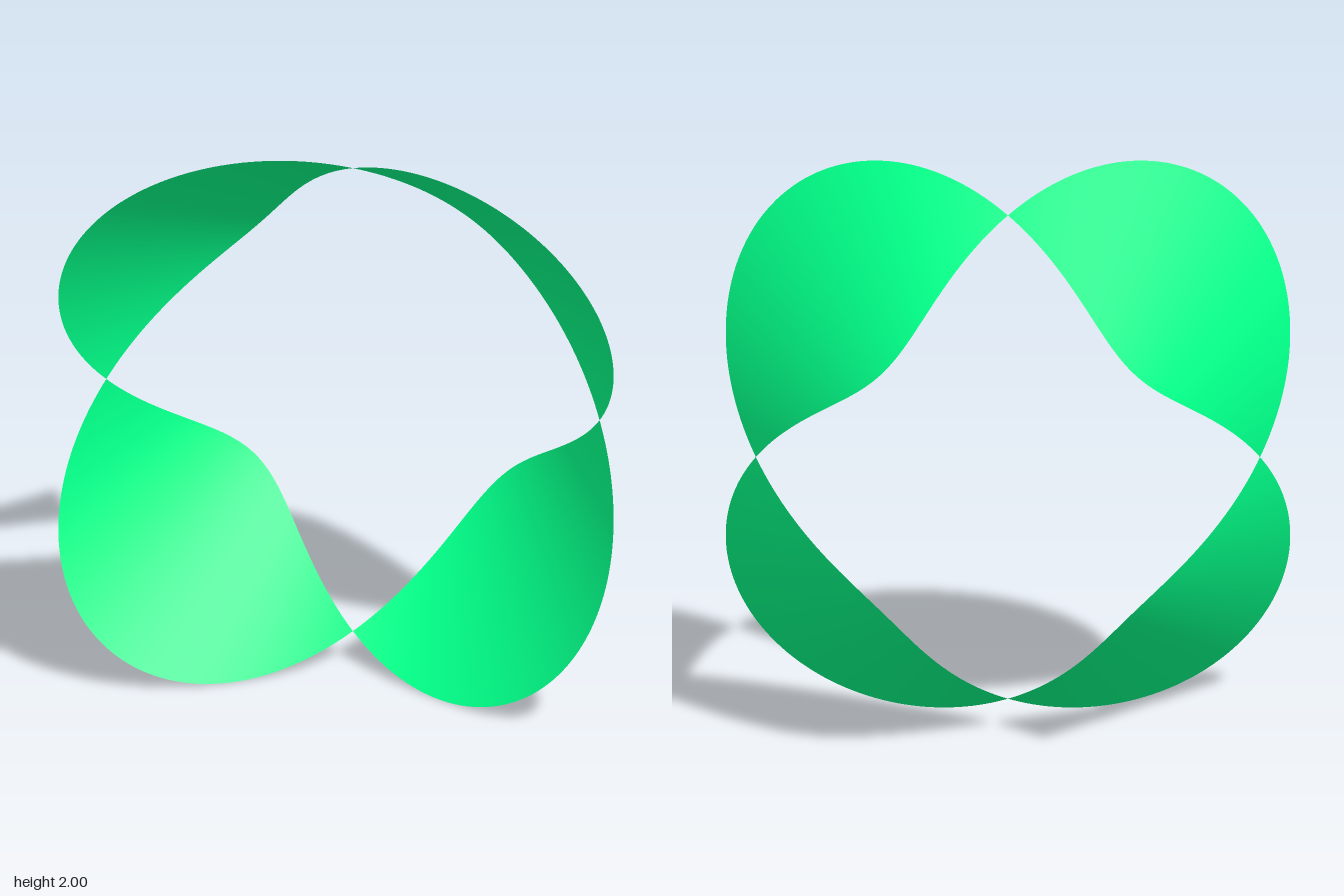
import * as THREE from 'three';

const RADIUS = 0.893;     // ring through the four pinch points
const HALF_RADIAL = 0.266; // half width of the band, across the ring
const HALF_DEPTH = 0.447;  // half width of the band, front to back

// One quarter of the ribbon: a tilted band that pinches to a point at both ends
function leafGeometry() {
  const geo = new THREE.PlaneGeometry(1, 1, 72, 20);
  const pos = geo.attributes.position;
  for (let i = 0; i < pos.count; i++) {
    const angle = (0.5 - pos.getX(i)) * Math.PI / 2;
    const across = 2 * pos.getY(i) * Math.sin(2 * angle);
    const r = RADIUS + HALF_RADIAL * across;
    pos.setXYZ(i, r * Math.cos(angle), r * Math.sin(angle), HALF_DEPTH * across);
  }
  geo.computeVertexNormals();
  return geo;
}

export function createModel() {
  const model = new THREE.Group();
  model.name = 'pinchedRibbonRing';
  const material = new THREE.MeshStandardMaterial({ color: 0x00ff88, side: THREE.DoubleSide });
  const geometry = leafGeometry();

  // Four equal leaves around the ring
  ['upperLeftLeaf', 'upperRightLeaf', 'lowerRightLeaf', 'lowerLeftLeaf'].forEach((name, i) => {
    const leaf = new THREE.Mesh(geometry, material);
    leaf.name = name;
    leaf.position.y = 1;
    leaf.rotation.z = i * Math.PI / 2;
    model.add(leaf);
  });
  return model;
}
